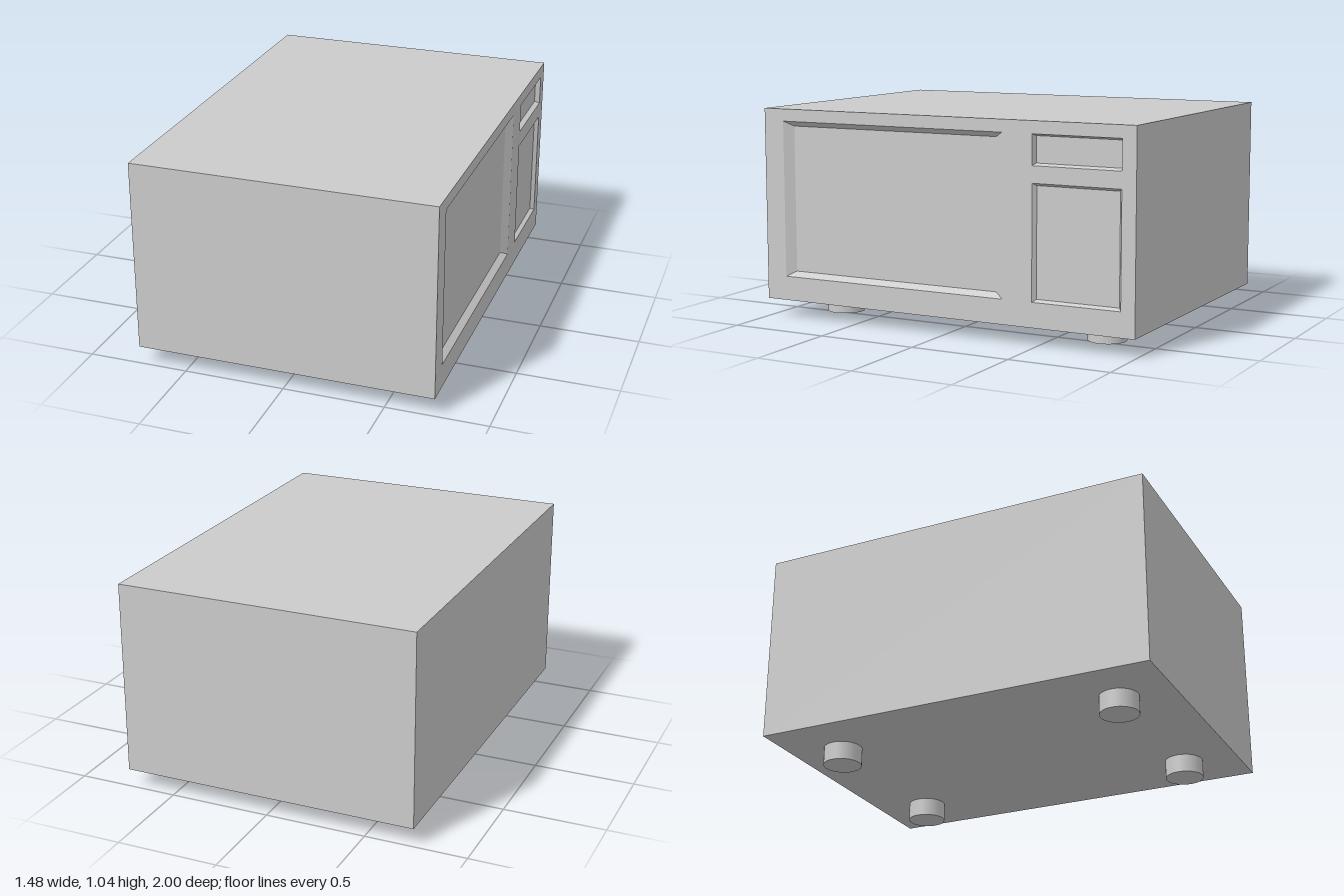
import * as THREE from 'three';

const W = 1.48, L = 2, BOTTOM = 0.09, TOP = 1.045;

// Recesses in the +x face, in face coordinates: u = -z, v = y
const RECESSES = [
  { name: 'doorRecess', u: [-0.89, 0.33], v: [0.21, 0.985], inset: [0.045, 0.025], depth: 0.03 },
  { name: 'displayRecess', u: [0.485, 0.93], v: [0.84, 0.985], inset: [0.01, 0.01], depth: 0.025 },
  { name: 'controlRecess', u: [0.485, 0.93], v: [0.21, 0.76], inset: [0.015, 0.012], depth: 0.02 },
];

const rect = ([u0, u1], [v0, v1], a = 0, b = 0) => [
  [u0 + a, v0 + b], [u1 - a, v0 + b], [u1 - a, v1 - b], [u0 + a, v1 - b],
];
const toPath = (corners) => corners.map(([u, v]) => new THREE.Vector2(u, v));

// Sloping walls and floor of one shallow tray
function recessGeometry({ u, v, inset, depth }) {
  const outer = rect(u, v).map(([a, b]) => [a, b, 0]);
  const inner = rect(u, v, ...inset).map(([a, b]) => [a, b, -depth]);
  const pos = [];
  const quad = (a, b, c, d) => pos.push(...a, ...b, ...c, ...a, ...c, ...d);
  for (let i = 0; i < 4; i++) {
    const j = (i + 1) % 4;
    quad(outer[i], outer[j], inner[j], inner[i]);
  }
  quad(...inner);
  const g = new THREE.BufferGeometry();
  g.setAttribute('position', new THREE.Float32BufferAttribute(pos, 3));
  g.computeVertexNormals();
  return g;
}

export function createModel() {
  const group = new THREE.Group();
  const material = new THREE.MeshStandardMaterial({ color: 0xcccccc });
  const add = (name, geometry) => {
    const mesh = new THREE.Mesh(geometry, material);
    mesh.name = name;
    group.add(mesh);
    return mesh;
  };

  // Casing: a box without its +x side
  const casing = new THREE.BoxGeometry(W, TOP - BOTTOM, L);
  casing.setIndex(Array.from(casing.index.array).slice(6));
  casing.clearGroups();
  add('casing', casing).position.y = (TOP + BOTTOM) / 2;

  // Face plate with openings for the recesses
  const face = new THREE.Shape(toPath(rect([-L / 2, L / 2], [BOTTOM, TOP])));
  for (const r of RECESSES) face.holes.push(new THREE.Path(toPath(rect(r.u, r.v).reverse())));
  const panel = new THREE.Group();
  panel.name = 'facePanel';
  panel.rotation.y = Math.PI / 2;
  panel.position.x = W / 2;
  panel.add(add('facePlate', new THREE.ShapeGeometry(face)));
  for (const r of RECESSES) panel.add(add(r.name, recessGeometry(r)));
  group.add(panel);

  // Four round feet
  const foot = new THREE.CylinderGeometry(0.094, 0.094, BOTTOM, 32);
  for (const x of [-0.438, 0.438]) {
    for (const z of [-0.73, 0.735]) add('foot', foot).position.set(x, BOTTOM / 2, z);
  }
  return group;
}
